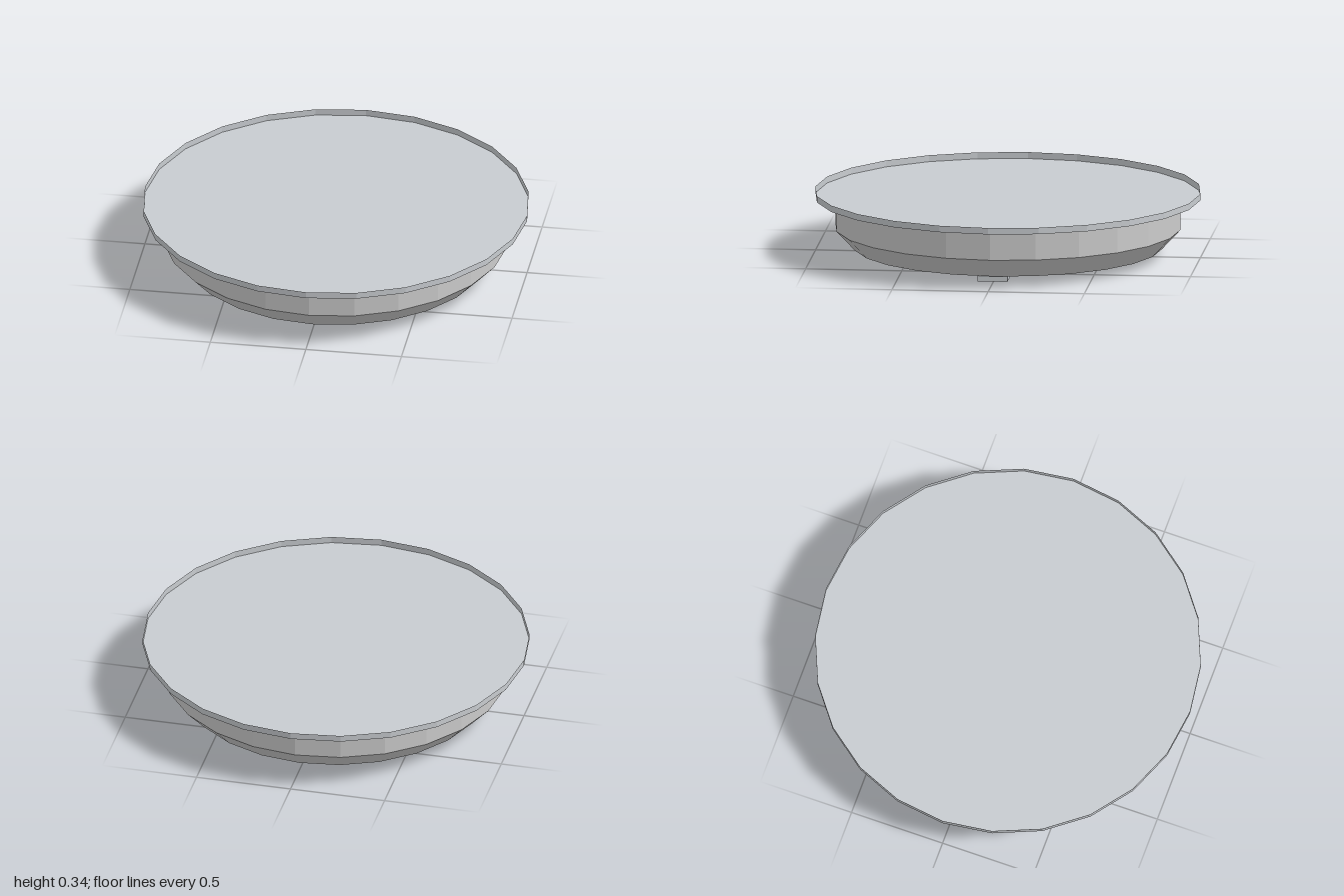
import * as THREE from 'three';

const material = (color, side = THREE.FrontSide) =>
  new THREE.MeshStandardMaterial({ color, flatShading: true, side });

export function createModel() {
  const model = new THREE.Group();
  const shell = material(0xf2f2f2);
  const trim = material(0xc8ccd0);
  const thinTrim = material(0xc8ccd0, THREE.DoubleSide);
  const dark = material(0x4c4c4c);

  const add = (name, geometry, mat, x = 0, y = 0) => {
    const mesh = new THREE.Mesh(geometry, mat);
    mesh.name = name;
    mesh.position.set(x, y, 0);
    model.add(mesh);
  };

  // Turned part from [radius, height] pairs, bottom to top
  const turned = (name, profile, mat) =>
    add(name, new THREE.LatheGeometry(profile.map(([r, y]) => new THREE.Vector2(r, y)), 24), mat);

  // Upright disc spanning y0 to y1
  const disc = (name, radius, y0, y1, sides, mat) =>
    add(name, new THREE.CylinderGeometry(radius, radius, y1 - y0, sides), mat, 0, (y0 + y1) / 2);

  // Flat box spanning y0 to y1
  const slab = (name, width, depth, x, y0, y1, mat) =>
    add(name, new THREE.BoxGeometry(width, y1 - y0, depth), mat, x, (y0 + y1) / 2);

  // Shallow open tray: a thin floor with a thin upright rim
  turned('topTray', [[0, 0.302], [1, 0.302], [1, 0.336]], thinTrim);

  // Body with straight wall and chamfered lower edge, closed above by the tray
  turned('body', [[0, 0.041], [0.8, 0.041], [0.897, 0.145], [0.897, 0.302]], shell);

  // Underside plate and centre pin
  disc('basePlate', 0.52, 0.021, 0.041, 32, trim);
  disc('centrePin', 0.062, 0, 0.021, 24, dark);

  // Connector block with its dark contact
  slab('connector', 0.233, 0.155, 0.666, 0.01, 0.041, trim);
  slab('connectorContact', 0.12, 0.12, 0.666, 0.003, 0.01, dark);

  return model;
}
